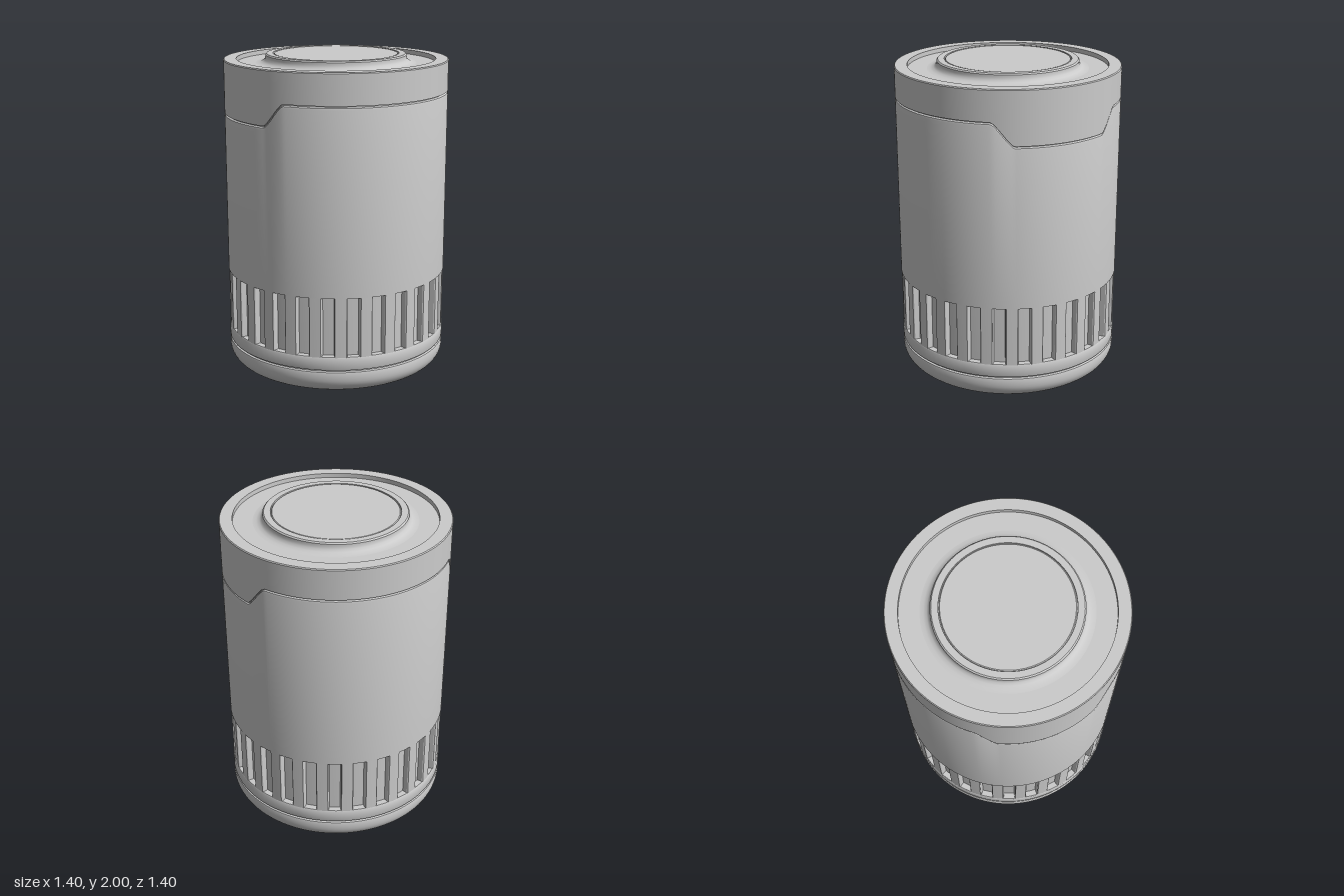
import * as THREE from 'three';
import { toCreasedNormals } from 'three/addons/utils/BufferGeometryUtils.js';

const material = new THREE.MeshStandardMaterial({ color: 0xcccccc });
const R = 0.7;          // outer radius of the canister
const SEAM = 1.775;     // height of the lid seam at front and back
const DROP = 0.14;      // how far the lid tabs reach down at the sides

// Turned part from [radius, height] pairs, listed from the bottom up on the outside.
function turned(name, profile, segments = 288, shift = null) {
  const geometry = new THREE.LatheGeometry(profile.map(([r, y]) => new THREE.Vector2(r, y)), segments);
  if (shift) {
    const p = geometry.attributes.position;
    for (let i = 0; i < p.count; i++) p.setY(i, p.getY(i) + shift(p.getX(i), p.getY(i), p.getZ(i)));
  }
  const mesh = new THREE.Mesh(toCreasedNormals(geometry, 0.6), material);
  mesh.name = name;
  return mesh;
}

// Downward offset of the seam: full at the two side tabs, sloping to zero at front and back.
function seamOffset(x, z) {
  const a = THREE.MathUtils.radToDeg(Math.atan2(Math.abs(z), Math.abs(x)));
  const linear = THREE.MathUtils.clamp((a - 25) / 10.5, 0, 1);
  const soft = THREE.MathUtils.smoothstep(a, 24, 36.5);
  return -DROP * (1 - (linear + soft) / 2);
}

// Gear-shaped outline for the grip ring, with slightly bevelled ribs.
function gripRing(count, inner, outer, bottom, top) {
  const shape = new THREE.Shape();
  const pitch = (Math.PI * 2) / count;
  const tooth = [[-0.27, inner], [-0.25, outer - 0.006], [-0.22, outer], [0, outer],
    [0.22, outer], [0.25, outer - 0.006], [0.27, inner], [0.5, inner]];
  for (let i = 0; i < count; i++) {
    tooth.forEach(([t, r], k) => {
      const a = (i + t) * pitch;
      const x = r * Math.cos(a), y = r * Math.sin(a);
      if (i === 0 && k === 0) shape.moveTo(x, y);
      else shape.lineTo(x, y);
    });
  }
  shape.closePath();
  const geometry = new THREE.ExtrudeGeometry(shape, { depth: top - bottom, bevelEnabled: false });
  geometry.rotateX(-Math.PI / 2).translate(0, bottom, 0);
  const mesh = new THREE.Mesh(toCreasedNormals(geometry, 0.3), material);
  mesh.name = 'gripRing';
  return mesh;
}

export function createModel() {
  const model = new THREE.Group();
  model.name = 'canister';

  // Rounded base with a flat underside
  const base = [[0, 0], [0.555, 0]];
  for (let i = 1; i <= 10; i++) {
    const a = (i / 10) * Math.PI / 2;
    base.push([0.58 + 0.12 * Math.sin(a), 0.002 + 0.108 * (1 - Math.cos(a))]);
  }
  base.push([R, 0.143], [0.697, 0.151], [0.686, 0.156], [0.6, 0.156]);
  model.add(turned('base', base, 96));

  // Narrow band between base and grip
  model.add(turned('lowerBand', [[0.6, 0.156], [0.686, 0.156], [0.686, 0.163], [0.697, 0.166],
    [R, 0.173], [R, 0.242], [0.695, 0.25], [0.6, 0.25]], 96));

  // Ribbed grip
  model.add(gripRing(28, 0.658, 0.697, 0.245, 0.63));

  // Main body, its upper edge following the lid seam
  model.add(turned('body', [[0.6, 0.625], [R, 0.625], [R, SEAM - 0.02], [0.697, SEAM - 0.009],
    [0.686, SEAM - 0.003], [0.686, SEAM + 0.01]], 288,
  (x, y, z) => (y > 1.5 ? seamOffset(x, z) : 0)));

  // Lid collar with side tabs, rim and sunken top
  model.add(turned('lid', [[0.68, SEAM + 0.004], [R, SEAM + 0.004], [R, 1.85], [R, 1.964], [0.695, 1.97],
    [0.62, 1.97], [0.62, 1.942], [0.4, 1.942]], 288,
  (x, y, z) => (y < 1.8 ? seamOffset(x, z) : 0)));

  // Raised knob with a flared foot and an inset disc
  model.add(turned('knob', [[0.5, 1.942], [0.478, 1.944], [0.458, 1.951], [0.445, 1.963], [0.44, 1.978],
    [0.44, 1.992], [0.432, 2], [0.392, 2], [0.392, 1.988], [0.38, 1.988]], 64));
  model.add(turned('topDisc', [[0.388, 1.985], [0.388, 1.993], [0.383, 1.998], [0, 1.998]], 64));

  return model;
}
